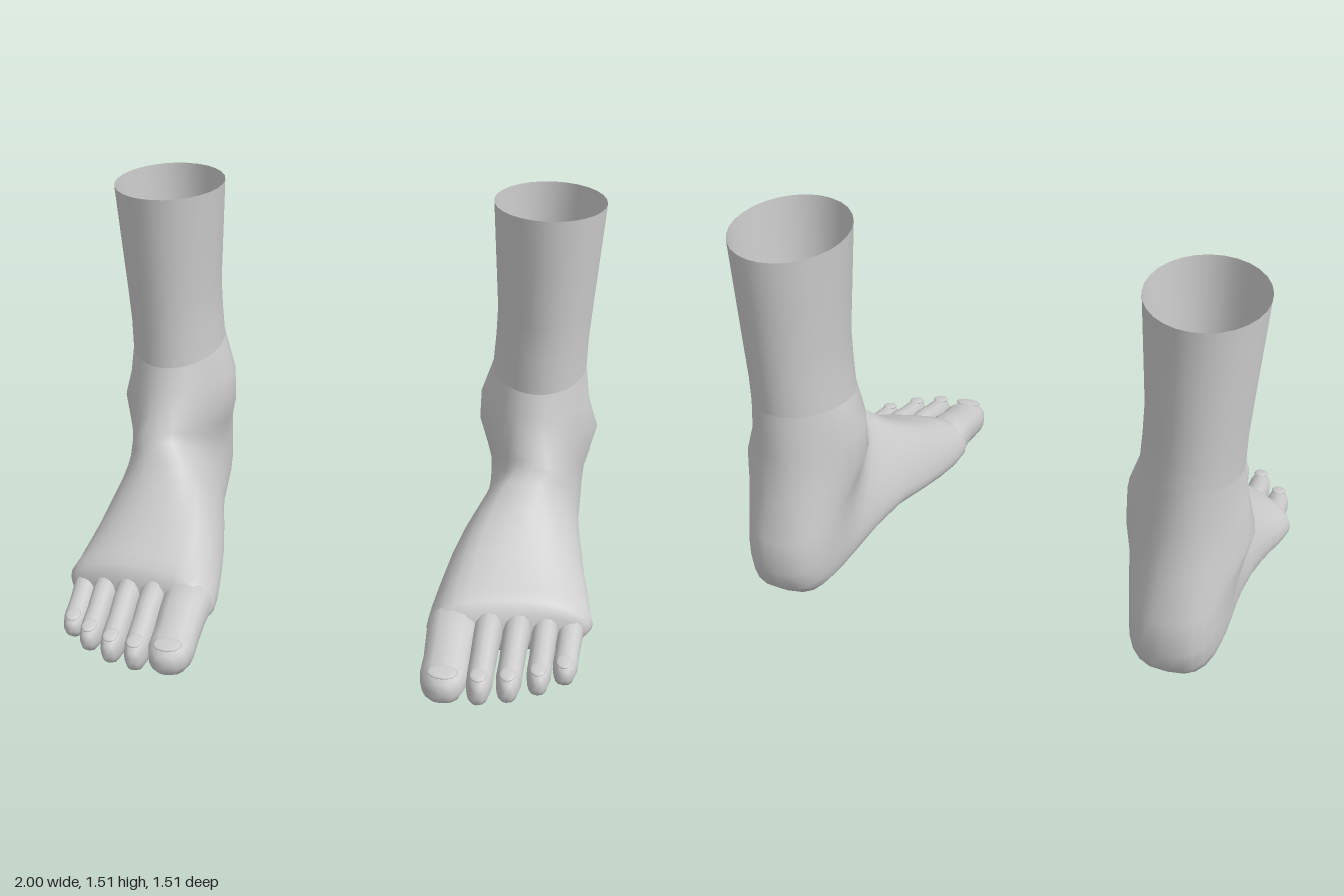
import * as THREE from 'three';

const SEG = 28;
const material = new THREE.MeshStandardMaterial({ color: 0xcccccc, side: THREE.DoubleSide });

// Skin a list of closed rings; side = -1 mirrors it, tip closes the last ring
function loft(name, rings, side, tip) {
  const n = rings[0].length, pos = [], index = [];
  const tri = (a, b, c) => (side > 0 ? index.push(a, b, c) : index.push(a, c, b));
  rings.forEach((ring) => ring.forEach((p) => pos.push(p[0] * side, p[1], p[2])));
  for (let i = 0; i < rings.length - 1; i++) {
    for (let j = 0; j < n; j++) {
      const a = i * n + j, b = i * n + ((j + 1) % n);
      tri(a, a + n, b + n);
      tri(a, b + n, b);
    }
  }
  if (tip) {
    const last = (rings.length - 1) * n;
    pos.push(tip[0] * side, tip[1], tip[2]);
    for (let j = 0; j < n; j++) tri(last + j, rings.length * n, last + ((j + 1) % n));
  }
  const geo = new THREE.BufferGeometry();
  geo.setAttribute('position', new THREE.Float32BufferAttribute(pos, 3));
  geo.setIndex(index);
  geo.computeVertexNormals();
  const mesh = new THREE.Mesh(geo, material);
  mesh.name = name;
  return mesh;
}

const spow = (v, p) => Math.sign(v) * Math.abs(v) ** p;
const bell = (d, s) => Math.exp(-(d * d) / (s * s));

// Ring between a front/instep point and a back/sole point.
// skew pushes the widest place towards the sole, square fattens the sides,
// lean moves the ridge inwards, shear slants the ring back towards the little toe
function section([tz, ty, bz, by, inner, outer, skew = 0, square = 1, lean = 0, shear = 0]) {
  const c = (inner + outer) / 2, hw = (outer - inner) / 2, ring = [];
  for (let j = 0; j < SEG; j++) {
    const a = (j / SEG) * Math.PI * 2;
    const s = spow(Math.sin(a), square), v = Math.cos(a);
    const w = v - skew * (1 - v * v);
    let x = c + hw * s - lean * (1 - s * s) * (w + 1) / 2;
    let y = (ty + by) / 2 + ((ty - by) / 2) * w;
    let z = (tz + bz) / 2 + ((tz - bz) / 2) * w;
    // ankle bones
    const bump = 0.048 * s * (s < 0 ? bell(y - 0.66, 0.12) : bell(y - 0.59, 0.12)) * bell(z + 0.42, 0.13);
    x += bump;
    // raised inner arch
    if (v < 0) y += 0.05 * Math.max(0, -s) * -v * bell(z + 0.02, 0.2);
    z -= shear * (x - 0.68);
    ring.push([x, y, z]);
  }
  return ring;
}

const legStations = [
  [-0.14, 1.51, -0.65, 1.51, 0.52, 0.94],
  [-0.155, 1.3, -0.647, 1.3, 0.535, 0.925],
  [-0.172, 1.08, -0.645, 1.1, 0.55, 0.91],
  [-0.175, 0.95, -0.645, 0.98, 0.548, 0.902],
  [-0.172, 0.82, -0.648, 0.89, 0.545, 0.9],
];

const footStations = [
  [-0.172, 0.82, -0.648, 0.89, 0.545, 0.9],
  [-0.14, 0.73, -0.662, 0.72, 0.535, 0.905],
  [-0.11, 0.67, -0.69, 0.54, 0.535, 0.91, 0.05, 0.95],
  [-0.08, 0.62, -0.745, 0.39, 0.54, 0.91, 0.1, 0.85],
  [-0.065, 0.595, -0.757, 0.26, 0.55, 0.91, 0.15, 0.78],
  [-0.055, 0.58, -0.73, 0.17, 0.55, 0.91, 0.2, 0.75],
  [-0.045, 0.565, -0.68, 0.12, 0.55, 0.91, 0.22, 0.72],
  [-0.03, 0.545, -0.58, 0.1, 0.545, 0.91, 0.25, 0.72, 0.01],
  [-0.01, 0.525, -0.43, 0.1, 0.53, 0.91, 0.27, 0.72, 0.02],
  [0.02, 0.49, -0.28, 0.11, 0.505, 0.92, 0.3, 0.74, 0.03],
  [0.06, 0.45, -0.14, 0.105, 0.475, 0.935, 0.32, 0.78, 0.04],
  [0.12, 0.4, 0.04, 0.065, 0.44, 0.955, 0.34, 0.8, 0.05, 0.04],
  [0.19, 0.35, 0.16, 0.045, 0.42, 0.975, 0.34, 0.8, 0.06, 0.1],
  [0.265, 0.3, 0.27, 0.03, 0.405, 0.99, 0.32, 0.78, 0.06, 0.15],
  [0.33, 0.265, 0.34, 0.03, 0.4, 1.0, 0.28, 0.75, 0.06, 0.2],
  [0.375, 0.24, 0.38, 0.035, 0.408, 0.985, 0.22, 0.72, 0.06, 0.23],
  [0.41, 0.2, 0.41, 0.06, 0.435, 0.955, 0.15, 0.7, 0.05, 0.25],
];

// Toes from big to little: base x, base z, tip x, tip z, half width, height
const toes = [
  ['bigToe', 0.5, 0.33, 0.495, 0.755, 0.09, 1],
  ['secondToe', 0.628, 0.34, 0.62, 0.745, 0.05, 0.98],
  ['thirdToe', 0.732, 0.31, 0.72, 0.712, 0.048, 0.93],
  ['fourthToe', 0.832, 0.27, 0.822, 0.645, 0.046, 0.86],
  ['littleToe', 0.925, 0.22, 0.91, 0.56, 0.047, 0.78],
];

// Along a toe: position, top y, bottom y, width
const toeStations = [
  [0, 0.19, 0.06, 0.9],
  [0.2, 0.215, 0.045, 1.05],
  [0.4, 0.198, 0.035, 0.98],
  [0.6, 0.165, 0.012, 0.93],
  [0.78, 0.142, 0, 0.95],
  [0.9, 0.124, 0.004, 0.78],
  [0.97, 0.1, 0.022, 0.5],
];

function addToe(group, [name, bx, bz, tx, tz, hw, h], side) {
  const mix = THREE.MathUtils.lerp;
  const rings = toeStations.map(([t, top, bottom, w]) => {
    const ring = [];
    for (let j = 0; j < 14; j++) {
      const a = (j / 14) * Math.PI * 2;
      ring.push([
        mix(bx, tx, t) + hw * w * spow(Math.sin(a), 0.85),
        (top * h + bottom) / 2 + ((top * h - bottom) / 2) * spow(Math.cos(a), 0.9),
        mix(bz, tz, t),
      ]);
    }
    return ring;
  });
  group.add(loft(name, rings, side, [tx, 0.06 * h, tz]));

  // nail lying on the top of the toe end
  const nail = new THREE.Mesh(new THREE.SphereGeometry(1, 14, 8), material);
  nail.name = name + 'Nail';
  nail.scale.set(hw * 0.6, 0.008, 0.035);
  nail.rotation.x = 0.25;
  nail.position.set(tx * side, 0.126 * h, mix(bz, tz, 0.88));
  group.add(nail);
}

export function createModel() {
  const model = new THREE.Group();
  model.name = 'pairOfFeet';
  for (const side of [1, -1]) {
    const foot = new THREE.Group();
    foot.name = side > 0 ? 'leftFoot' : 'rightFoot';
    foot.add(loft('lowerLeg', legStations.map(section), side));
    foot.add(loft('footBody', footStations.map(section), side, [0.68, 0.12, 0.42]));
    toes.forEach((toe) => addToe(foot, toe, side));
    model.add(foot);
  }
  return model;
}
